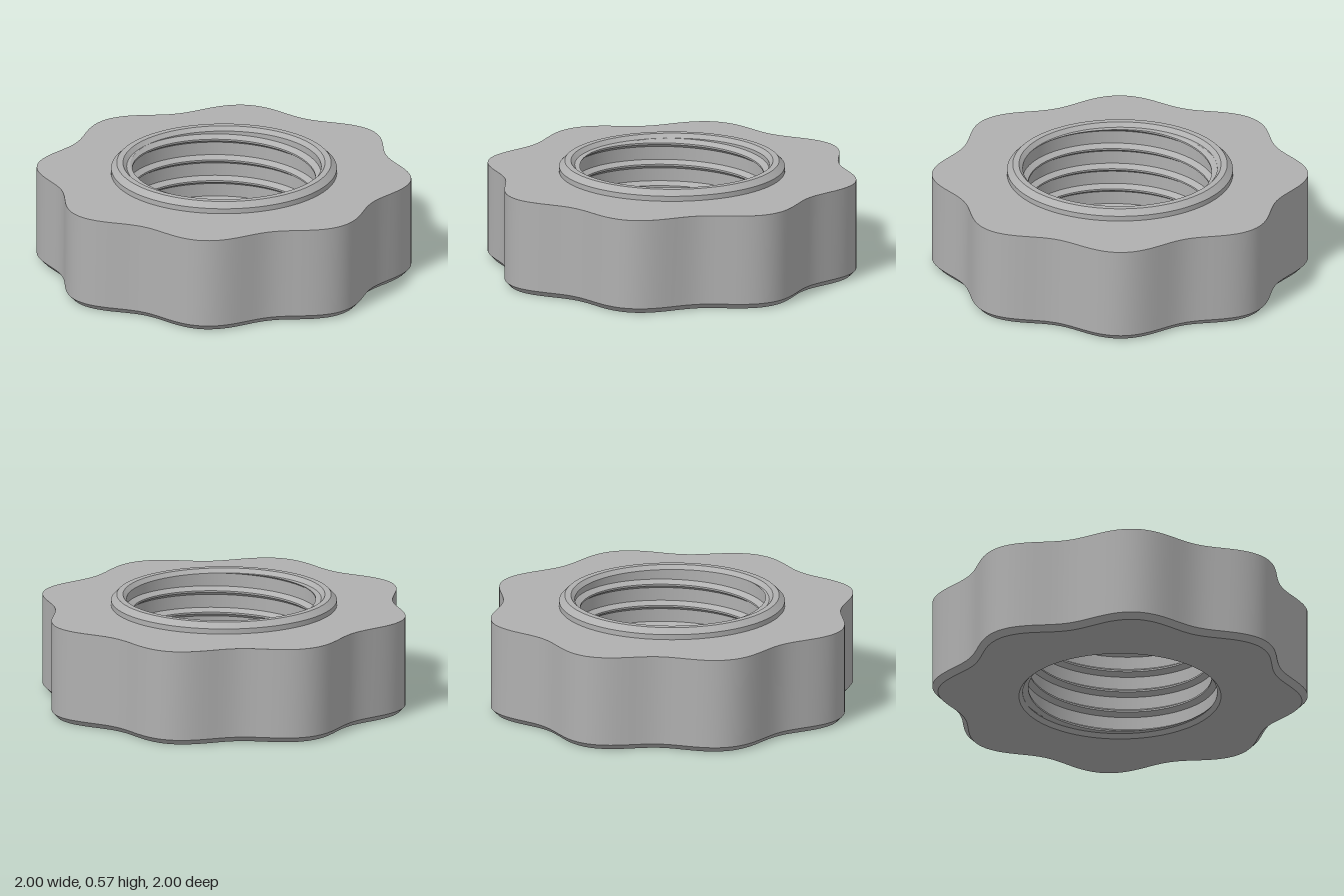
import * as THREE from 'three';
import { toCreasedNormals } from 'three/addons/utils/BufferGeometryUtils.js';

const SEGMENTS = 192;
const PITCH = 0.118, ROOT = 0.517, CREST = 0.487;
const BORE_BOTTOM = 0.022, BORE_TOP = 0.553;
const KNOTS = [0, 0.16, 0.24, 0.4]; // flank start, crest start, crest end, flank end

// Skins rings given by section(angle) -> [[radius, y], ...]
function loft(section) {
  const positions = [], index = [];
  let rows = 0;
  for (let i = 0; i <= SEGMENTS; i++) {
    const a = (i % SEGMENTS) / SEGMENTS * Math.PI * 2;
    const ring = section(a, i / SEGMENTS);
    rows = ring.length;
    for (const [r, y] of ring) positions.push(r * Math.cos(a), y, -r * Math.sin(a));
  }
  for (let i = 0; i < SEGMENTS; i++) {
    for (let j = 0; j < rows - 1; j++) {
      const a = i * rows + j, b = a + rows;
      index.push(a, b, b + 1, a, b + 1, a + 1);
    }
  }
  const geometry = new THREE.BufferGeometry();
  geometry.setAttribute('position', new THREE.Float32BufferAttribute(positions, 3));
  geometry.setIndex(index);
  return toCreasedNormals(geometry, 0.45);
}

// Eight-lobed grip outline
const outline = (a) => 0.95 + 0.05 * Math.cos(8 * a);

// Radius of the helical thread at a height and turn fraction
function threadRadius(y, turn) {
  const p = y / PITCH - turn;
  const f = p - Math.floor(p);
  if (f >= KNOTS[3]) return ROOT;
  if (f < KNOTS[1]) return THREE.MathUtils.lerp(ROOT, CREST, f / KNOTS[1]);
  if (f <= KNOTS[2]) return CREST;
  return THREE.MathUtils.lerp(CREST, ROOT, (f - KNOTS[2]) / (KNOTS[3] - KNOTS[2]));
}

// Bore from the top chamfer, down the thread, to the bottom chamfer
function boreSection(a, turn) {
  const ring = [[0.537, 0.575], [ROOT, BORE_TOP]];
  for (let n = 5; n >= -1; n--) {
    for (let k = KNOTS.length - 1; k >= 0; k--) {
      const y = THREE.MathUtils.clamp(PITCH * (n + KNOTS[k] + turn), BORE_BOTTOM, BORE_TOP);
      ring.push([threadRadius(y, turn), y]);
    }
  }
  ring.push([ROOT, BORE_BOTTOM], [0.537, 0]);
  return ring;
}

export function createModel() {
  const group = new THREE.Group();
  group.name = 'lobedNut';
  const metal = new THREE.MeshStandardMaterial({ color: 0xb0b0b0 });
  metal.name = 'grey metal';

  const add = (name, section) => {
    const mesh = new THREE.Mesh(loft(section), metal);
    mesh.name = name;
    group.add(mesh);
  };

  // Wavy body with a chamfered lower edge
  add('body', (a) => [
    [0.537, 0], [outline(a) - 0.03, 0], [outline(a), 0.03], [outline(a), 0.517], [0.6, 0.517],
  ]);
  // Raised collar with a chamfered rim
  add('collar', () => [[0.6, 0.517], [0.6, 0.545], [0.57, 0.575], [0.537, 0.575]]);
  // Internal screw thread
  add('threadedBore', boreSection);

  return group;
}
